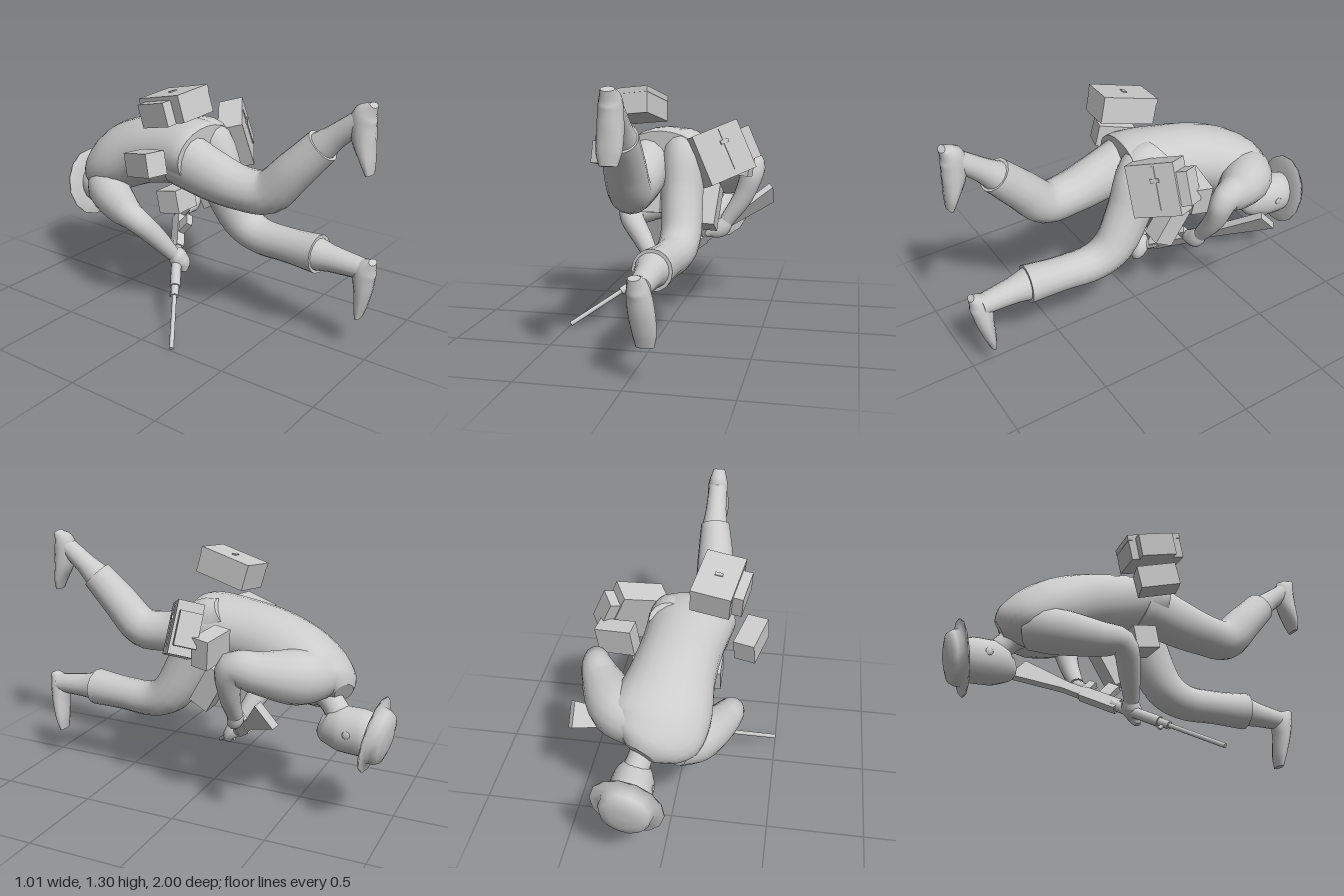
import * as THREE from 'three';

const V = (p) => new THREE.Vector3(...p);
const grey = new THREE.MeshStandardMaterial({ color: 0xcccccc, side: THREE.DoubleSide });
grey.name = 'plain grey';

function add(parent, name, geometry, pos = [0, 0, 0]) {
  const mesh = new THREE.Mesh(geometry, grey);
  mesh.name = name;
  mesh.position.set(...pos);
  parent.add(mesh);
  return mesh;
}

// Smooth closed skin over elliptical sections [x, y, z, halfWidth, halfDepth, roll]
function loft(rings, sides = 16, sub = 4) {
  const path = new THREE.CatmullRomCurve3(rings.map((r) => V(r.slice(0, 3))));
  const radii = new THREE.CatmullRomCurve3(rings.map((r) => new THREE.Vector3(r[3], r[4] ?? r[3], r[5] ?? 0)));
  const n = (rings.length - 1) * sub, pos = [], idx = [];
  for (let i = 0; i <= n; i++) {
    const c = path.getPoint(i / n), r = radii.getPoint(i / n), t = path.getTangent(i / n);
    const a = new THREE.Vector3(1, 0, 0).addScaledVector(t, -t.x).normalize().applyAxisAngle(t, r.z);
    const b = t.clone().cross(a);
    for (let j = 0; j < sides; j++) {
      const w = (j / sides) * Math.PI * 2;
      const p = c.clone().addScaledVector(a, r.x * Math.cos(w)).addScaledVector(b, r.y * Math.sin(w));
      pos.push(p.x, p.y, p.z);
      if (i < n) {
        const k = i * sides + j, l = i * sides + ((j + 1) % sides);
        idx.push(k, l, k + sides, l, l + sides, k + sides);
      }
    }
  }
  // end caps with their own vertices, so the rims stay crisp
  for (const i of [0, n]) {
    const base = pos.length / 3, c = path.getPoint(i / n);
    for (let j = 0; j < sides; j++) {
      const s = (i * sides + j) * 3;
      pos.push(pos[s], pos[s + 1], pos[s + 2]);
      const k = base + j, l = base + ((j + 1) % sides);
      idx.push(base + sides, ...(i === 0 ? [l, k] : [k, l]));
    }
    pos.push(c.x, c.y, c.z);
  }
  const g = new THREE.BufferGeometry();
  g.setAttribute('position', new THREE.Float32BufferAttribute(pos, 3));
  g.setIndex(idx);
  g.computeVertexNormals();
  return g;
}

// Group whose local x follows xDir and whose local y leans toward yHint
function frame(parent, name, pos, xDir, yHint) {
  const x = V(xDir).normalize();
  const z = x.clone().cross(V(yHint)).normalize();
  const g = new THREE.Group();
  g.name = name;
  g.quaternion.setFromRotationMatrix(new THREE.Matrix4().makeBasis(x, z.clone().cross(x), z));
  g.position.set(...pos);
  parent.add(g);
  return g;
}
const box = (parent, name, size, pos) => add(parent, name, new THREE.BoxGeometry(...size), pos);

export function createModel() {
  const model = new THREE.Group();
  model.name = 'crouchingFigure';

  // Body, rolled so the right shoulder sits lower
  add(model, 'torso', loft([
    [-0.03, 0.885, 0.07, 0.225, 0.15], [-0.025, 0.885, 0.01, 0.22, 0.165], [-0.01, 0.865, -0.15, 0.205, 0.175, -0.05],
    [0.01, 0.825, -0.35, 0.21, 0.18, -0.15], [0.03, 0.76, -0.52, 0.24, 0.175, -0.27],
    [0.055, 0.715, -0.63, 0.235, 0.145, -0.35], [0.08, 0.685, -0.7, 0.17, 0.105, -0.35],
    [0.1, 0.66, -0.74, 0.08, 0.05, -0.35]], 24));
  add(model, 'neck', loft([[0.08, 0.67, -0.62, 0.09], [0.11, 0.6, -0.69, 0.06], [0.14, 0.52, -0.76, 0.065]]));

  // Head and hat
  add(model, 'head', loft([[0.14, 0.505, -0.64, 0.03, 0.045], [0.14, 0.495, -0.67, 0.07, 0.085],
    [0.138, 0.49, -0.75, 0.102, 0.115], [0.138, 0.485, -0.85, 0.107, 0.117], [0.14, 0.485, -0.92, 0.09, 0.1]], 20));
  for (const s of [-1, 1]) {
    add(model, 'ear', new THREE.SphereGeometry(0.02, 8, 6), [0.138 + s * 0.104, 0.5, -0.8]).scale.x = 0.3;
  }
  const hatProfile = [[0, -0.01], [0.13, -0.01], [0.188, 0.002], [0.188, 0.01], [0.14, 0.012],
    [0.134, 0.045], [0.12, 0.07], [0.065, 0.084], [0, 0.086]];
  const hat = add(model, 'hat', new THREE.LatheGeometry(hatProfile.map((p) => new THREE.Vector2(...p)), 14),
    [0.137, 0.485, -0.905]);
  hat.quaternion.setFromUnitVectors(V([0, 1, 0]), V([0.09, -0.18, -0.98]).normalize());
  hat.scale.set(0.95, 1, 1.05);

  // Legs: trousers, ankle, shoe
  add(model, 'rightTrouser', loft([
    [-0.11, 0.87, -0.04, 0.125, 0.15], [-0.11, 0.81, 0.17, 0.12, 0.13], [-0.105, 0.78, 0.34, 0.115, 0.11],
    [-0.09, 0.79, 0.48, 0.105, 0.11], [-0.08, 0.92, 0.61, 0.1, 0.1], [-0.06, 1.065, 0.745, 0.08, 0.088]]));
  add(model, 'rightAnkle', loft([[-0.06, 1.04, 0.72, 0.076, 0.08], [-0.055, 1.12, 0.81, 0.058],
    [-0.05, 1.21, 0.92, 0.05]]));
  add(model, 'rightShoe', loft([
    [-0.05, 1.29, 0.982, 0.032, 0.018], [-0.05, 1.23, 0.94, 0.054, 0.062], [-0.05, 1.13, 0.945, 0.06, 0.056],
    [-0.05, 1.03, 0.972, 0.058, 0.03], [-0.05, 0.97, 0.985, 0.04, 0.015]], 12));
  add(model, 'leftTrouser', loft([
    [0.07, 0.97, -0.1, 0.1, 0.09], [0.076, 0.9, 0, 0.11, 0.14], [0.086, 0.71, 0.085, 0.108, 0.125],
    [0.1, 0.52, 0.2, 0.104, 0.11], [0.095, 0.46, 0.31, 0.098, 0.095], [0.08, 0.455, 0.5, 0.09, 0.09],
    [0.065, 0.46, 0.69, 0.098, 0.1]]));
  add(model, 'leftAnkle', loft([[0.065, 0.46, 0.66, 0.09], [0.065, 0.455, 0.76, 0.068], [0.068, 0.445, 0.94, 0.052]]));
  add(model, 'leftShoe', loft([
    [0.055, 0.5, 0.982, 0.03, 0.018], [0.062, 0.44, 0.942, 0.054, 0.06], [0.074, 0.34, 0.935, 0.062, 0.045],
    [0.084, 0.24, 0.922, 0.056, 0.03], [0.085, 0.175, 0.915, 0.042, 0.014]], 12));

  // Arms and hands
  add(model, 'leftArm', loft([
    [0.12, 0.74, -0.63, 0.115], [0.24, 0.755, -0.55, 0.135], [0.345, 0.785, -0.4, 0.105],
    [0.405, 0.81, -0.28, 0.068, 0.08], [0.36, 0.66, -0.25, 0.054], [0.27, 0.52, -0.24, 0.04]]));
  add(model, 'leftHand', loft([[0.28, 0.53, -0.24, 0.03], [0.24, 0.48, -0.23, 0.05, 0.04],
    [0.19, 0.46, -0.22, 0.04, 0.03], [0.16, 0.44, -0.21, 0.015]], 10));
  add(model, 'rightArm', loft([
    [-0.04, 0.62, -0.62, 0.1], [-0.13, 0.595, -0.53, 0.115], [-0.23, 0.555, -0.34, 0.09], [-0.27, 0.54, -0.23, 0.068],
    [-0.185, 0.42, -0.15, 0.055], [-0.11, 0.31, -0.1, 0.038]]));
  add(model, 'rightHand', loft([[-0.12, 0.33, -0.11, 0.03], [-0.085, 0.29, -0.09, 0.055, 0.05],
    [-0.07, 0.25, -0.06, 0.045, 0.035], [-0.08, 0.21, -0.05, 0.015]], 10));

  // Long gun, laid out along its local x from the muzzle
  const gun = frame(model, 'longGun', [-0.495, 0.012, 0.19], [0.99, 0.63, -0.69], [0, 0.74, 0.67]);
  const rod = (name, r, x0, x1) => {
    add(gun, name, new THREE.CylinderGeometry(r, r, x1 - x0, 10), [(x0 + x1) / 2, 0, 0]).rotation.z = Math.PI / 2;
  };
  rod('barrel', 0.012, 0, 0.36);
  rod('barrelCollar', 0.021, 0.32, 0.42);
  rod('handguard', 0.028, 0.38, 0.68);
  box(gun, 'frontSight', [0.02, 0.035, 0.012], [0.35, -0.025, 0]);
  box(gun, 'receiver', [0.24, 0.07, 0.045], [0.76, 0, 0]);
  box(gun, 'magazine', [0.07, 0.1, 0.035], [0.76, 0.07, 0]);
  box(gun, 'grip', [0.045, 0.08, 0.035], [0.88, 0.05, 0]);
  const stock = new THREE.Shape([[0.82, -0.028], [1.0, -0.025], [1.355, -0.065], [1.355, 0.07], [1.0, 0.03], [0.82, 0.03]]
    .map((p) => new THREE.Vector2(...p)));
  add(gun, 'stock', new THREE.ExtrudeGeometry(stock, { depth: 0.036, bevelEnabled: false }), [0, 0, -0.018]);

  // Pack above the hips, with lid, strap and side pocket
  const backPack = frame(model, 'backPack', [-0.165, 1.157, -0.025], [0.21, 0.022, 0.03], [0.03, 0.97, -0.23]);
  box(backPack, 'packBody', [0.2, 0.135, 0.29]);
  box(backPack, 'packLid', [0.204, 0.03, 0.294], [0, 0.055, 0]);
  box(backPack, 'packStrap', [0.04, 0.006, 0.02], [0, 0.072, 0]);
  box(backPack, 'packPocket', [0.055, 0.12, 0.19], [-0.125, -0.01, -0.01]);

  // Satchel on the left hip, with a seam, buckle and side pocket
  const satchel = frame(model, 'satchel', [0.273, 0.922, 0.04], [0.22, 0.09, -0.15], [-0.1, 0.26, -0.02]);
  box(satchel, 'satchelBody', [0.26, 0.265, 0.13]);
  box(satchel, 'satchelSeam', [0.012, 0.22, 0.008], [0.02, 0.01, 0.066]);
  box(satchel, 'satchelBuckle', [0.045, 0.02, 0.012], [0.02, 0.05, 0.068]);
  box(satchel, 'satchelPocket', [0.06, 0.17, 0.11], [0.155, -0.005, -0.005]);

  // Pouches around the belt: name, centre, x direction, y hint, size
  const pouches = [
    ['rightPouch', [-0.345, 0.89, -0.08], [0.95, 0, 0.28], [0.1, 0.97, -0.2], [0.11, 0.12, 0.2]],
    ['leftPouch', [0.325, 0.87, -0.135], [0.97, -0.1, 0.17], [0.1, 0.97, -0.1], [0.19, 0.15, 0.09]],
    ['leftThighPouch', [0.195, 0.625, -0.08], [1, -0.05, 0.05], [0, 0.87, -0.5], [0.11, 0.23, 0.11]],
    ['bellyPouch', [-0.125, 0.645, -0.06], [1, 0, 0], [0, 0.97, -0.2], [0.15, 0.12, 0.13]],
  ];
  for (const [name, pos, x, y, size] of pouches) {
    box(frame(model, name, pos, x, y), 'pouchBody', size);
  }
  return model;
}
